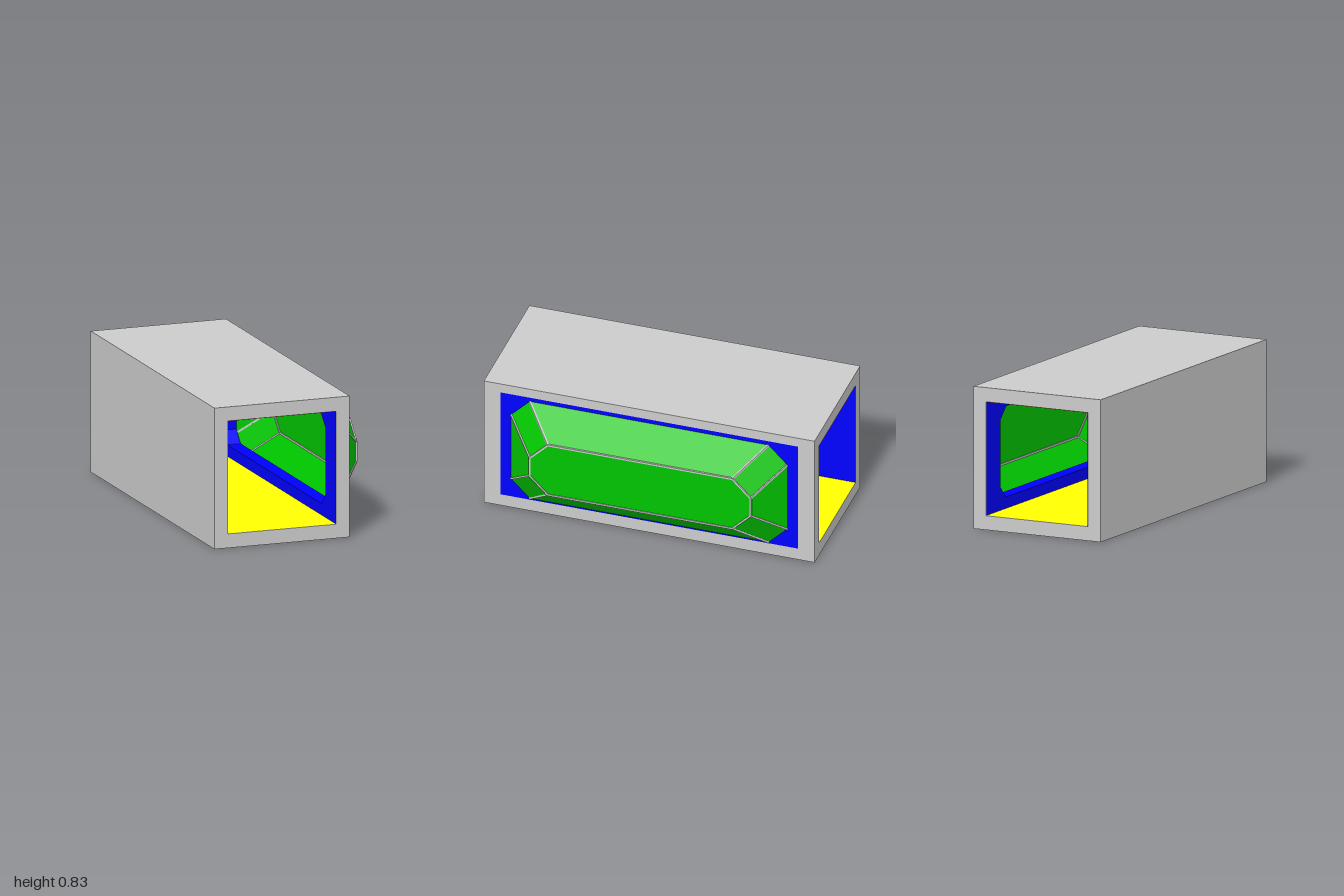
import * as THREE from 'three';

const mat = (color, side = THREE.FrontSide) =>
  new THREE.MeshStandardMaterial({ color, side, flatShading: true });
const GREY = mat(0xcccccc);
const BLUE = mat(0x0000ff, THREE.DoubleSide);
const YELLOW = mat(0xffff00, THREE.DoubleSide);
const RED = mat(0xff0000, THREE.DoubleSide);
const GREEN = mat(0x00c400, THREE.DoubleSide);

// Outer and inner limits of the square tube
const X0 = -0.5, X1 = 0.33, H = 0.833, T = 0.083, L = 2;
const IX0 = X0 + T, IX1 = X1 - T, MID = H / 2;

export function createModel() {
  const model = new THREE.Group();

  const add = (name, geometry, material, parent = model) => {
    const mesh = new THREE.Mesh(geometry, material);
    mesh.name = name;
    parent.add(mesh);
    return mesh;
  };
  const box = (name, x0, x1, y0, y1) =>
    add(name, new THREE.BoxGeometry(x1 - x0, y1 - y0, L), GREY)
      .position.set((x0 + x1) / 2, (y0 + y1) / 2, 0);

  // Rectangle with cut corners in the (z, y) plane, as [z, y] points
  const octagon = (hz, hy, c) => [
    [hz, MID - hy + c], [hz, MID + hy - c], [hz - c, MID + hy], [c - hz, MID + hy],
    [-hz, MID + hy - c], [-hz, MID - hy + c], [c - hz, MID - hy], [hz - c, MID - hy],
  ];
  const rect = (hz, y0, y1) => [[-hz, y0], [hz, y0], [hz, y1], [-hz, y1]];
  const shapeOf = (outer, hole) => {
    const toV = (pts) => pts.map(([z, y]) => new THREE.Vector2(z, y));
    const shape = new THREE.Shape(toV(outer));
    shape.holes.push(new THREE.Path(toV(hole)));
    return shape;
  };
  // Extrude a (z, y) outline along +x
  const slab = (outer, hole, x, depth) =>
    new THREE.ExtrudeGeometry(shapeOf(outer, hole), { depth, bevelEnabled: false })
      .rotateY(Math.PI / 2).translate(x, 0, 0);

  // Grey shell
  box('floor', X0, IX1, 0, T);
  box('roof', X0, IX1, H - T, H);
  box('plainWall', X0, IX0, T, H - T);
  const recess = rect(0.9, 0.075, 0.775);
  add('windowWall', slab(rect(1, 0, H), recess, IX1, T), GREY);

  // Blue panel filling the window wall, with the window opening
  const opening = octagon(0.832, 0.266, 0.07);
  add('windowPanel', slab(recess, opening, IX1, T), BLUE);

  // Coloured inner linings
  const W = IX1 - IX0, IH = H - 2 * T, E = 0.0015, CX = (IX0 + IX1) / 2;
  add('floorLining', new THREE.PlaneGeometry(W, L).rotateX(-Math.PI / 2), YELLOW)
    .position.set(CX, T + E, 0);
  add('ceilingLining', new THREE.PlaneGeometry(W, L).rotateX(Math.PI / 2), RED)
    .position.set(CX, H - T - E, 0);
  add('plainWallLining', new THREE.PlaneGeometry(L, IH).rotateY(Math.PI / 2), BLUE)
    .position.set(IX0 + E, MID, 0);
  add('windowWallLining',
    new THREE.ShapeGeometry(shapeOf(rect(1, T, H - T), opening)).rotateY(-Math.PI / 2), BLUE)
    .position.set(IX1 - E, 0, 0);

  // Bay window: sloped panes between a wide base ring and a smaller front ring
  const bay = new THREE.Group();
  bay.name = 'bayWindow';
  model.add(bay);
  const base = octagon(0.835, 0.333, 0.113).map(([z, y]) => new THREE.Vector3(X1, y, z));
  const front = octagon(0.668, 0.17, 0.11).map(([z, y]) => new THREE.Vector3(0.495, y, z));
  const centre = new THREE.Vector3(0.495, MID, 0);
  const tris = [];
  base.forEach((b, i) => {
    const j = (i + 1) % 8;
    tris.push(b, front[j], front[i], b, base[j], front[j]);
    tris.push(centre, front[i], front[j]);
  });
  // Rings run so that the reversed order faces outwards
  const glass = new THREE.BufferGeometry().setFromPoints(tris.reverse());
  glass.computeVertexNormals();
  add('bayPanes', glass, GREEN, bay);

  // Grey glazing bars along the pane edges
  const bar = (a, b) => {
    const mesh = add('glazingBar',
      new THREE.BoxGeometry(0.011, 0.011, a.distanceTo(b)), GREY, bay);
    mesh.position.copy(a).add(b).multiplyScalar(0.5);
    mesh.lookAt(b);
  };
  front.forEach((f, i) => {
    bar(f, front[(i + 1) % 8]);
    bar(base[i], f);
  });

  return model;
}
